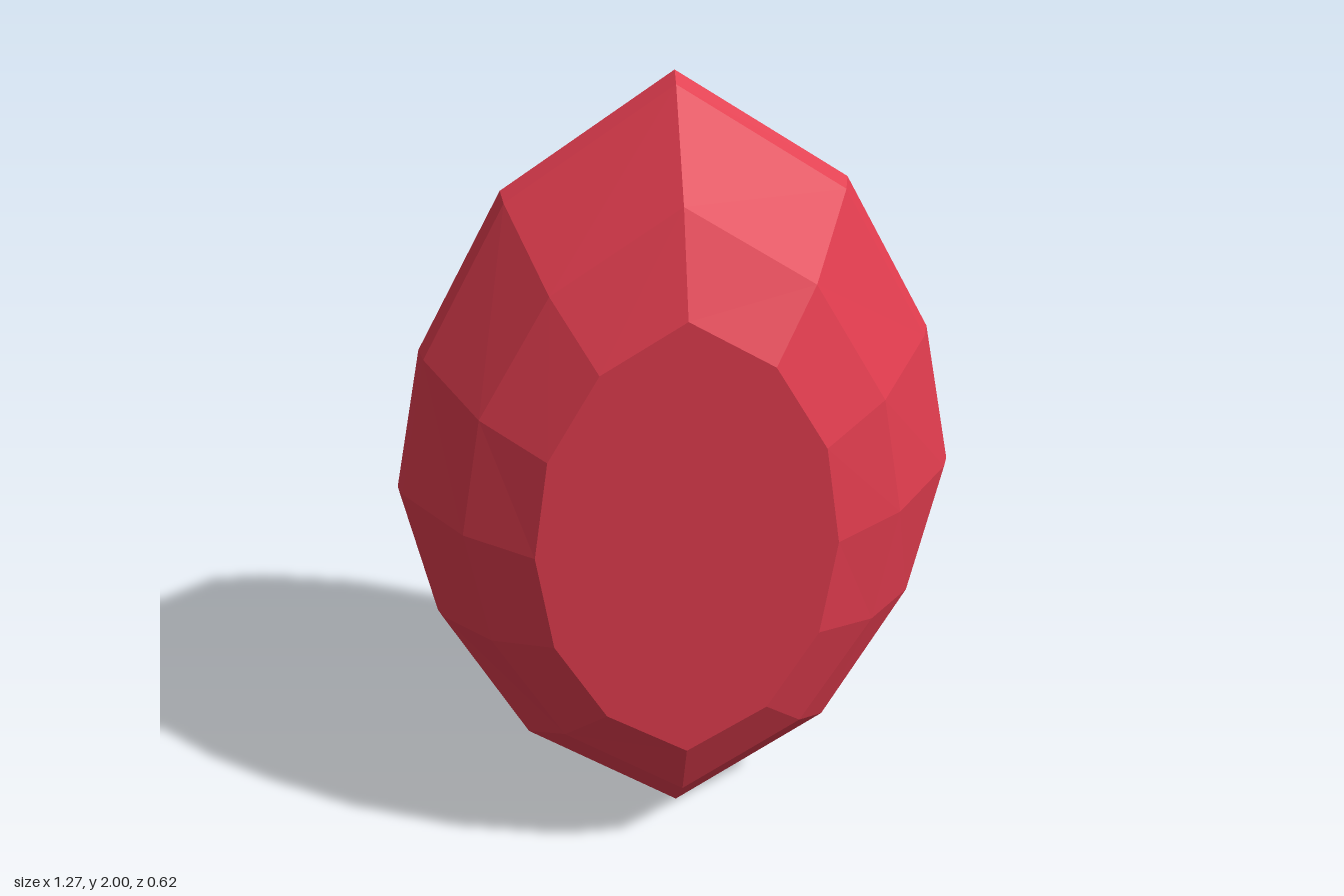
import * as THREE from 'three';

// Quarter outlines [x, height from the middle], running from the top tip to the side
const girdle = [[0, 1], [0.37, 0.74], [0.565, 0.36], [0.635, 0]];
const middle = [[0, 0.79], [0.28, 0.595], [0.44, 0.3], [0.49, 0]];
const table = [[0, 0.58], [0.185, 0.46], [0.3, 0.25], [0.335, 0]];

// Mirrors a quarter outline into a closed clockwise ring of 12 points at depth z
function ring(quarter, z, scale = 1) {
  const right = [...quarter, ...quarter.slice(0, 3).reverse().map(([x, y]) => [x, -y])];
  const left = right.slice(1, 6).reverse().map(([x, y]) => [-x, y]);
  return [...right, ...left].map(([x, y]) => new THREE.Vector3(x * scale, 1 + y * scale, z));
}

function facetMesh(name, points, material) {
  const geometry = new THREE.BufferGeometry().setFromPoints(points);
  geometry.computeVertexNormals();
  const mesh = new THREE.Mesh(geometry, material);
  mesh.name = name;
  return mesh;
}

// Band of flat facets from ring a (rear) to ring b (front)
function band(name, a, b, material) {
  const points = [];
  a.forEach((p, i) => {
    const j = (i + 1) % a.length;
    points.push(p, b[i], a[j], a[j], b[i], b[j]);
  });
  return facetMesh(name, points, material);
}

// Flat face filling a ring
function cap(name, r, facingFront, material) {
  const centre = new THREE.Vector3(0, 1, r[0].z);
  const points = [];
  r.forEach((p, i) => {
    const q = r[(i + 1) % r.length];
    points.push(centre, ...(facingFront ? [q, p] : [p, q]));
  });
  return facetMesh(name, points, material);
}

export function createModel() {
  const gem = new THREE.Group();
  gem.name = 'gem';
  const material = new THREE.MeshStandardMaterial({ color: 0xe03c4e, flatShading: true });

  // Rings from the back table to the front table
  const rings = [
    ring(table, -0.308),
    ring(middle, -0.205),
    ring(girdle, -0.033, 0.982),
    ring(girdle, 0),
    ring(girdle, 0.033, 0.982),
    ring(middle, 0.205),
    ring(table, 0.308),
  ];
  const names = ['backUpperFacets', 'backLowerFacets', 'backGirdle',
    'frontGirdle', 'frontLowerFacets', 'frontUpperFacets'];
  names.forEach((name, i) => gem.add(band(name, rings[i], rings[i + 1], material)));

  gem.add(cap('backTable', rings[0], false, material));
  gem.add(cap('frontTable', rings[6], true, material));
  return gem;
}
